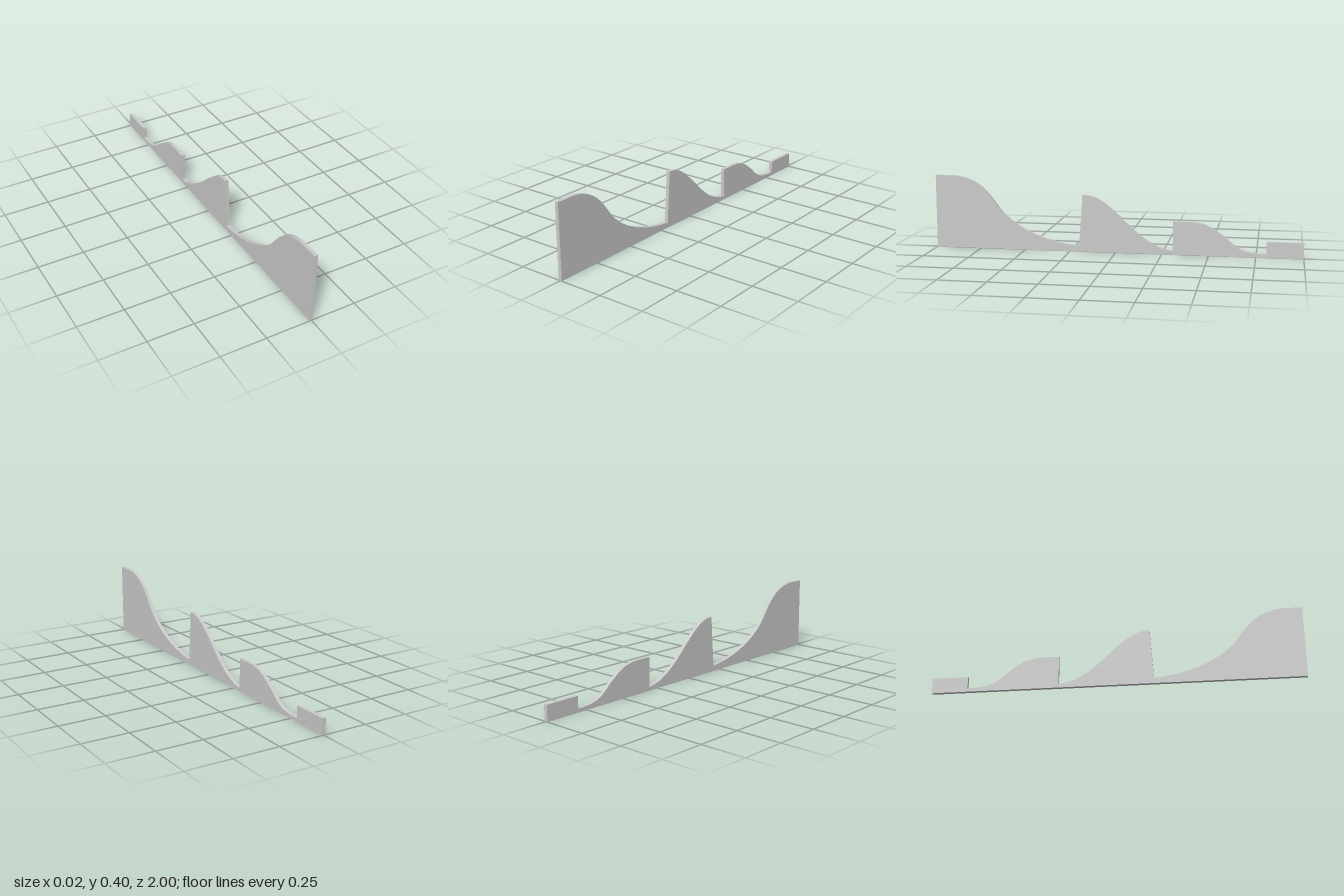
import * as THREE from 'three';
import { toCreasedNormals } from 'three/addons/utils/BufferGeometryUtils.js';

const THICKNESS = 0.02;

export function createModel() {
  const group = new THREE.Group();
  group.name = 'steppedWavePanel';

  // Side profile: shape x runs along the model's z, from front to back
  const s = new THREE.Shape();
  s.moveTo(-1, 0);
  s.lineTo(1, 0);

  // tall front wave
  s.lineTo(1, 0.4);
  s.lineTo(0.9, 0.4);
  s.bezierCurveTo(0.75, 0.39, 0.7, 0.3, 0.64, 0.22);
  s.bezierCurveTo(0.55, 0.11, 0.37, 0.04, 0.2, 0.03);

  // second wave, with a slightly leaning face
  s.lineTo(0.18, 0.31);
  s.bezierCurveTo(0.1, 0.31, 0.06, 0.27, -0.02, 0.2);
  s.bezierCurveTo(-0.12, 0.1, -0.2, 0.03, -0.31, 0.02);

  // third wave
  s.lineTo(-0.31, 0.18);
  s.lineTo(-0.39, 0.18);
  s.bezierCurveTo(-0.5, 0.18, -0.53, 0.14, -0.59, 0.1);
  s.bezierCurveTo(-0.66, 0.03, -0.7, 0.02, -0.805, 0.02);

  // low rear block
  s.lineTo(-0.805, 0.085);
  s.lineTo(-1, 0.085);
  s.closePath();

  // Thin panel, turned so the profile lies in the y-z plane
  const geometry = new THREE.ExtrudeGeometry(s, {
    depth: THICKNESS, bevelEnabled: false, curveSegments: 16,
  });
  geometry.translate(0, 0, -THICKNESS / 2);
  geometry.rotateY(-Math.PI / 2);

  const panel = new THREE.Mesh(
    toCreasedNormals(geometry, Math.PI / 6),
    new THREE.MeshStandardMaterial({ color: 0xcccccc }),
  );
  panel.name = 'wavePanel';
  group.add(panel);
  return group;
}
